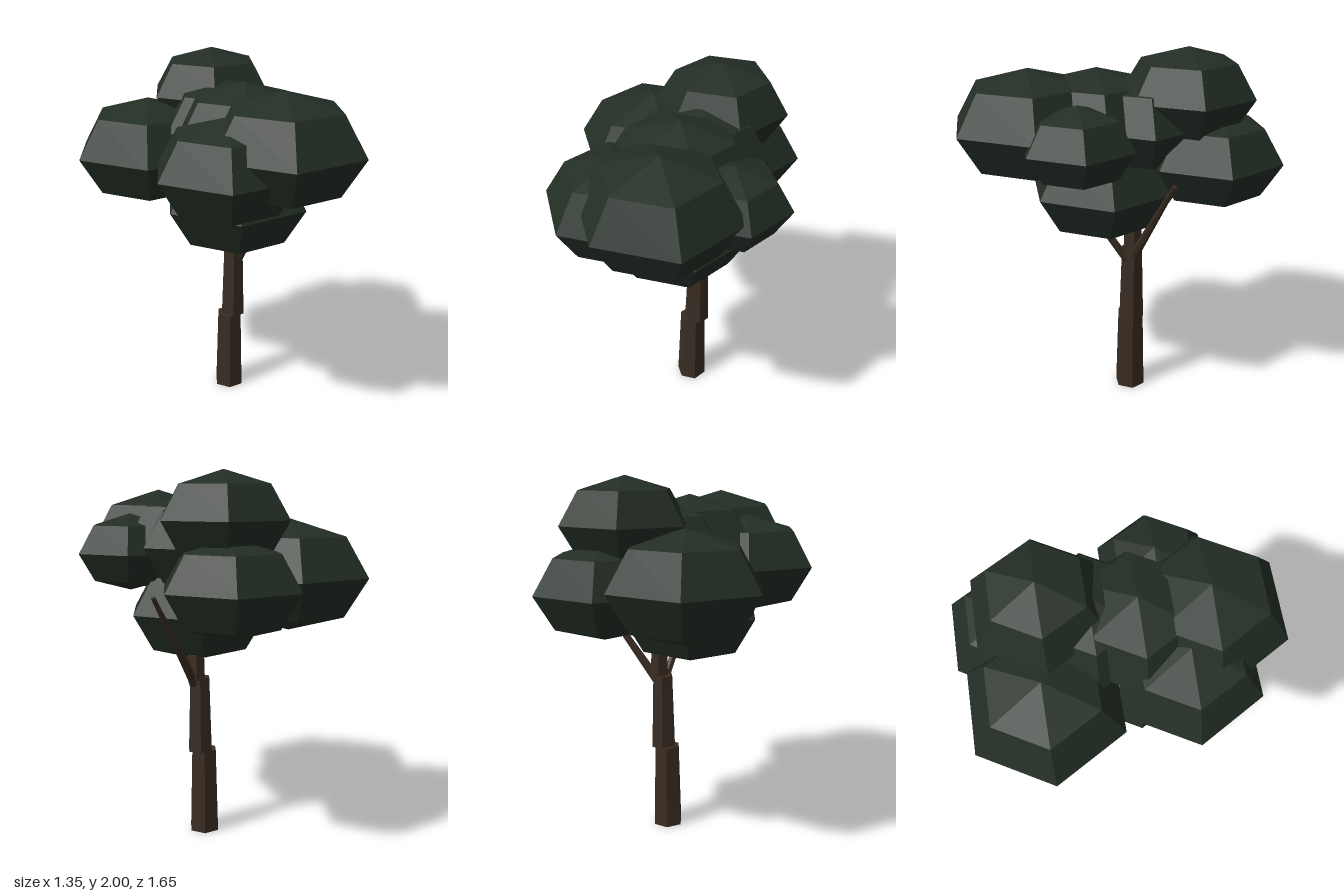
import * as THREE from 'three';

export function createModel() {
  const tree = new THREE.Group();
  tree.name = 'tree';
  const foliage = new THREE.MeshStandardMaterial({ name: 'darkGreenFoliage', color: 0x232e25, flatShading: true });
  const bark = new THREE.MeshStandardMaterial({ name: 'brownBark', color: 0x3a2d22, flatShading: true });

  // Tapered six-sided limb between two points
  function limb(name, from, to, r0, r1) {
    const a = new THREE.Vector3(...from), b = new THREE.Vector3(...to);
    const dir = b.clone().sub(a);
    const geo = new THREE.CylinderGeometry(r1, r0, dir.length(), 6);
    geo.rotateY(Math.PI / 6 * 3); // corners on the x axis
    const mesh = new THREE.Mesh(geo, bark);
    mesh.name = name;
    mesh.position.copy(a).add(b).multiplyScalar(0.5);
    mesh.quaternion.setFromUnitVectors(new THREE.Vector3(0, 1, 0), dir.normalize());
    tree.add(mesh);
  }

  // Stacked, slightly offset trunk sections
  limb('lowerTrunk', [0.087, 0, -0.085], [0.09, 0.475, -0.085], 0.087, 0.074);
  limb('middleTrunk', [0.114, 0.47, -0.085], [0.117, 0.89, -0.085], 0.072, 0.059);
  limb('upperTrunk', [0.14, 0.88, -0.085], [0.14, 1.02, -0.085], 0.054, 0.049);

  // Branches
  limb('sideBranch', [0.13, 0.82, -0.08], [0.485, 1.37, -0.23], 0.028, 0.012);
  limb('frontBranch', [0.135, 0.79, -0.075], [0.13, 1.12, 0.14], 0.024, 0.02);

  // Crown: flattened six-sided clumps [name, x, y, z, radius]
  const clumps = [
    ['frontClump', 0.06, 1.607, 0.452, 0.432],
    ['frontLeftClump', 0.365, 1.565, 0.237, 0.307],
    ['frontRightClump', -0.195, 1.505, 0.318, 0.40],
    ['backRightClump', -0.243, 1.46, -0.405, 0.432],
    ['backLeftClump', 0.197, 1.42, -0.5, 0.379],
    ['topClump', 0.152, 1.756, -0.364, 0.363],
    ['middleClump', 0.055, 1.62, 0.10, 0.40],
    ['innerClump', 0.1, 1.61, -0.13, 0.38],
    ['lowerClump', 0.028, 1.236, 0.066, 0.415],
  ];
  for (const [name, x, y, z, r] of clumps) {
    const mesh = new THREE.Mesh(new THREE.SphereGeometry(r, 6, 4), foliage);
    mesh.name = name;
    mesh.scale.y = 0.68;
    mesh.position.set(x, y, z);
    tree.add(mesh);
  }
  return tree;
}
